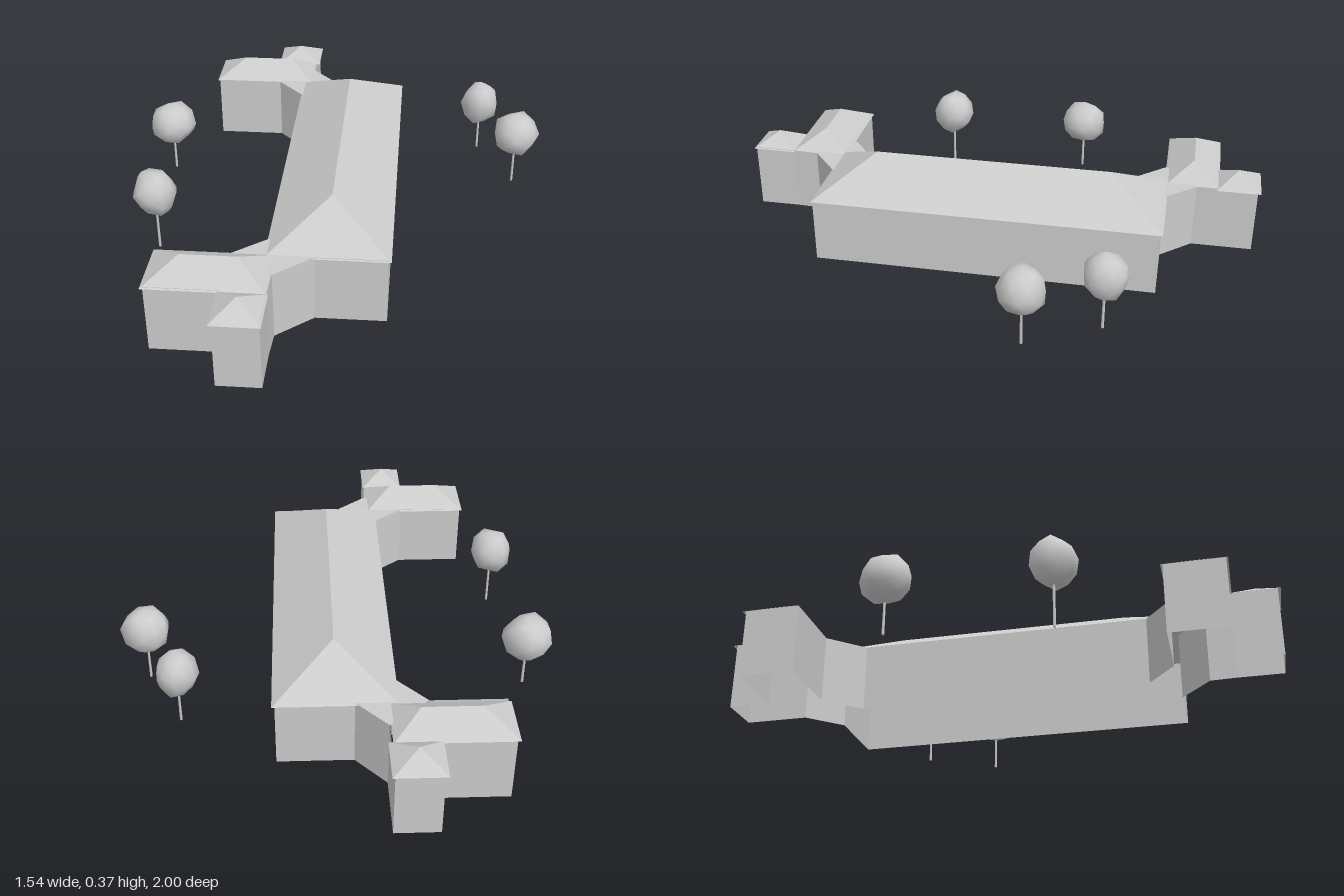
import * as THREE from 'three';
import { mergeVertices } from 'three/addons/utils/BufferGeometryUtils.js';

const grey = new THREE.MeshStandardMaterial({ color: 0xcccccc, flatShading: true, side: THREE.DoubleSide });
const smooth = new THREE.MeshStandardMaterial({ color: 0xcccccc });
const EAVE = 0.245;

function mesh(name, geometry, material, parent) {
  const m = new THREE.Mesh(geometry, material);
  m.name = name;
  parent.add(m);
  return m;
}

// Geometry from a list of triangles, each corner a Vector3
function fromTriangles(points) {
  const g = new THREE.BufferGeometry().setFromPoints(points);
  g.computeVertexNormals();
  return g;
}

// Open ribbon of wall that follows a footprint of [x, z] corners
function walls(outline, height) {
  const pts = [];
  outline.forEach(([ax, az], i) => {
    const [bx, bz] = outline[(i + 1) % outline.length];
    const a = new THREE.Vector3(ax, 0, az), b = new THREE.Vector3(bx, 0, bz);
    const at = a.clone().setY(height), bt = b.clone().setY(height);
    pts.push(b, a, at, b, at, bt);
  });
  return fromTriangles(pts);
}

// Hipped roof over a rectangle; both ridge ends are [x, z], equal for a pyramid
function hipRoof(x0, x1, z0, z1, top, ridge) {
  const corners = [[x0, z0], [x1, z0], [x1, z1], [x0, z1]].map(([x, z]) => new THREE.Vector3(x, EAVE, z));
  const ends = ridge.map(([x, z]) => new THREE.Vector3(x, top, z));
  const near = (c) => (c.distanceTo(ends[0]) <= c.distanceTo(ends[1]) ? ends[0] : ends[1]);
  const pts = [];
  for (let i = 0; i < 4; i++) {
    const a = corners[(i + 1) % 4], b = corners[i];
    pts.push(a, b, near(b));
    if (near(a) !== near(b)) pts.push(a, near(b), near(a));
  }
  return fromTriangles(pts);
}

// Flat roof over four [x, z] corners
function deck(corners, y) {
  const [a, b, c, d] = corners.map(([x, z]) => new THREE.Vector3(x, y, z));
  return fromTriangles([a, b, c, a, c, d]);
}

// Lumpy crown: a sphere whose points move in or out by a smooth rule
function crownGeometry(rx, ry, rz, seed) {
  let g = new THREE.IcosahedronGeometry(1, 1);
  g.deleteAttribute('uv');
  g.deleteAttribute('normal');
  g = mergeVertices(g, 1e-3);
  const p = g.attributes.position, v = new THREE.Vector3();
  for (let i = 0; i < p.count; i++) {
    v.fromBufferAttribute(p, i);
    v.multiplyScalar(0.97 + 0.07 * Math.sin(v.x * 5 + v.y * 7 + v.z * 4 + seed * 2.3));
    p.setXYZ(i, v.x * rx, v.y * ry, v.z * rz);
  }
  g.computeVertexNormals();
  return g;
}

function tree(x, z, y, rx, ry, rz, foot, seed) {
  const t = new THREE.Group();
  t.name = 'tree';
  t.position.set(x, 0, z);
  mesh('crown', crownGeometry(rx, ry, rz, seed), smooth, t).position.y = y;
  const length = y - foot;
  mesh('trunk', new THREE.CylinderGeometry(0.004, 0.005, length, 6), smooth, t).position.y = foot + length / 2;
  return t;
}

export function createModel() {
  const model = new THREE.Group();
  model.name = 'buildingWithTrees';

  // One continuous wall round the hall, links, wings and annexes
  const outline = [
    [0.22, 0.63], [-0.025, 0.63], [-0.15, 0.735], [-0.155, 0.83], [-0.155, 0.99], [-0.305, 0.99],
    [-0.305, 0.83], [-0.55, 0.83], [-0.55, 0.625], [-0.30, 0.625], [-0.18, 0.53],
    [-0.18, -0.52], [-0.29, -0.64], [-0.55, -0.64], [-0.55, -0.837], [-0.305, -0.837],
    [-0.305, -0.988], [-0.15, -0.988], [-0.15, -0.76], [-0.045, -0.645], [0.22, -0.645],
  ];
  mesh('walls', walls(outline, 0.25), grey, model);

  // Hipped roofs with a small overhang
  mesh('hallRoof', hipRoof(-0.19, 0.23, -0.655, 0.635, 0.37, [[0.02, -0.45], [0.02, 0.43]]), grey, model);
  mesh('frontWingRoof', hipRoof(-0.56, -0.155, 0.618, 0.836, 0.31, [[-0.45, 0.728], [-0.26, 0.728]]), grey, model);
  mesh('backWingRoof', hipRoof(-0.56, -0.155, -0.846, -0.645, 0.31, [[-0.45, -0.745], [-0.25, -0.745]]), grey, model);
  mesh('frontAnnexRoof', hipRoof(-0.315, -0.15, 0.83, 1, 0.295, [[-0.235, 0.915], [-0.235, 0.915]]), grey, model);
  mesh('backAnnexRoof', hipRoof(-0.315, -0.14, -1, -0.835, 0.295, [[-0.23, -0.915], [-0.23, -0.915]]), grey, model);

  // Flat roofs of the slanting links
  mesh('frontLinkRoof', deck([[-0.025, 0.63], [-0.18, 0.53], [-0.30, 0.625], [-0.15, 0.735]], 0.25), grey, model);
  mesh('backLinkRoof', deck([[-0.045, -0.645], [-0.15, -0.76], [-0.29, -0.64], [-0.18, -0.52]], 0.25), grey, model);

  // Trees: x, z, crown height, crown radii, foot of trunk, seed
  model.add(
    tree(-0.68, -0.275, 0.235, 0.09, 0.087, 0.092, 0.03, 1),
    tree(-0.63, 0.28, 0.255, 0.081, 0.091, 0.082, 0.02, 2),
    tree(0.55, -0.485, 0.265, 0.074, 0.09, 0.079, 0.06, 3),
    tree(0.68, -0.23, 0.268, 0.088, 0.089, 0.086, 0.055, 4),
  );
  return model;
}
